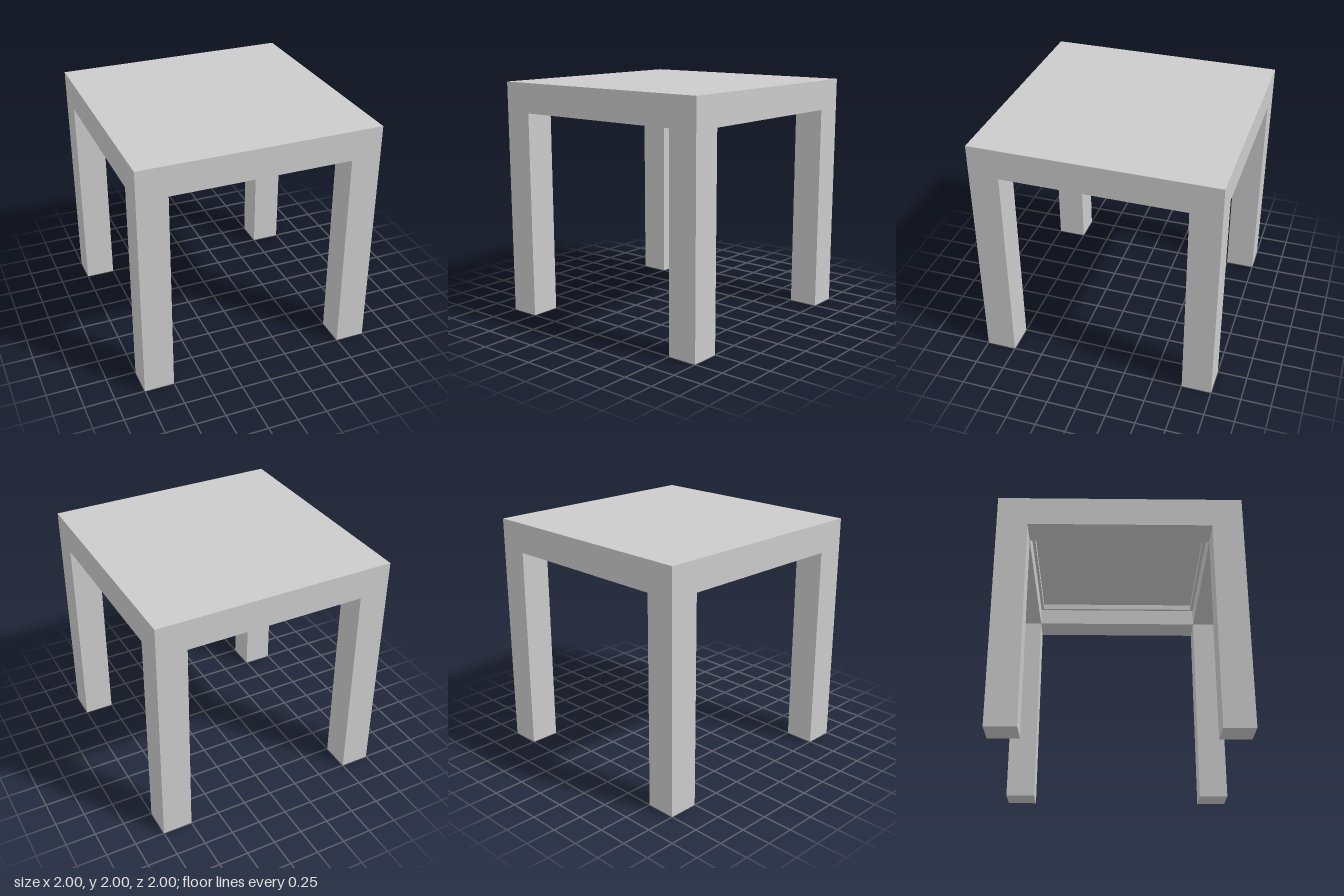
import * as THREE from 'three';

const material = new THREE.MeshStandardMaterial({ color: 0xcccccc, flatShading: true });

function addMesh(parent, name, geometry, x, y, z) {
  const mesh = new THREE.Mesh(geometry, material);
  mesh.name = name;
  mesh.position.set(x, y, z);
  parent.add(mesh);
}

// Square outline of the given half width
function square(Type, h) {
  const path = new Type();
  path.moveTo(-h, -h).lineTo(h, -h).lineTo(h, h).lineTo(-h, h).closePath();
  return path;
}

// Flat square ring lying in the xz plane, rising from y = 0
function squareRing(outer, inner, height) {
  const shape = square(THREE.Shape, outer);
  shape.holes.push(square(THREE.Path, inner));
  return new THREE.ExtrudeGeometry(shape, { depth: height, bevelEnabled: false }).rotateX(-Math.PI / 2);
}

export function createModel() {
  const table = new THREE.Group();
  table.name = 'sideTable';

  const legWidth = 0.25, legHeight = 1.75;
  const topThickness = 0.05, topBase = 2 - topThickness;
  const inner = 1 - legWidth;

  // Thin top panel
  addMesh(table, 'tabletop', new THREE.BoxGeometry(2, topThickness, 2), 0, 2 - topThickness / 2, 0);

  // Thick apron frame, flush with the top and legs
  addMesh(table, 'apron', squareRing(1, inner, topBase - legHeight), 0, legHeight, 0);

  // Narrow ledge around the underside recess, just below the panel
  addMesh(table, 'supportLedge', squareRing(inner, inner - 0.025, 0.05), 0, topBase - 0.05, 0);

  // Four square legs at the corners
  const legGeometry = new THREE.BoxGeometry(legWidth, legHeight, legWidth);
  const offset = 1 - legWidth / 2;
  for (const [zName, sz] of [['front', 1], ['back', -1]]) {
    for (const [xName, sx] of [['Left', 1], ['Right', -1]]) {
      addMesh(table, `${zName}${xName}Leg`, legGeometry, sx * offset, legHeight / 2, sz * offset);
    }
  }
  return table;
}
